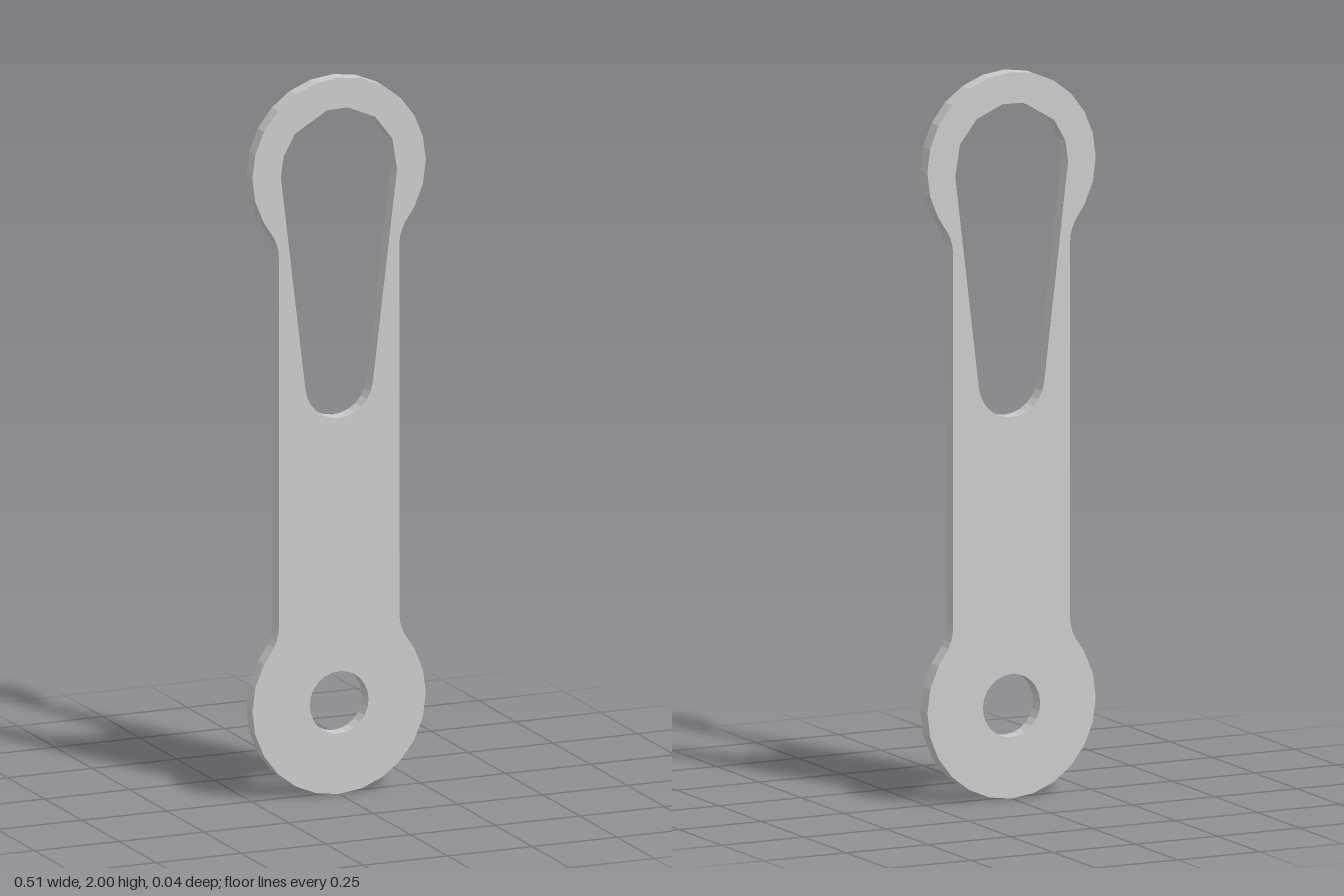
import * as THREE from 'three';

const rad = THREE.MathUtils.degToRad;

// Point on a circle, angle in degrees
const polar = (cx, cy, r, deg) =>
  new THREE.Vector2(cx + r * Math.cos(rad(deg)), cy + r * Math.sin(rad(deg)));

// Points along an arc, both ends included
function arc(cx, cy, r, from, to, steps) {
  return Array.from({ length: steps + 1 }, (_, i) =>
    polar(cx, cy, r, from + ((to - from) * i) / steps));
}

export function createModel() {
  const endR = 0.256, lowY = 0.256, highY = 2 - lowY;
  const waist = 0.178, filletR = 0.117;

  // Fillet touching both the round end and the straight side
  const fx = waist + filletR;
  const fy = lowY + Math.sqrt((endR + filletR) ** 2 - fx ** 2);
  const touch = THREE.MathUtils.radToDeg(Math.atan2(fy - lowY, fx));

  // Lower right quarter of the outline, then mirrored up and across
  const quarter = [
    ...arc(0, lowY, endR, -90, 30, 8),
    ...arc(fx, fy, filletR, 180 + touch, 180, 4),
  ];
  const rightSide = [
    ...quarter,
    ...quarter.map((p) => new THREE.Vector2(p.x, 2 - p.y)).reverse(),
  ];
  const leftSide = rightSide.slice(1, -1).reverse()
    .map((p) => new THREE.Vector2(-p.x, p.y));
  const outline = new THREE.Shape([...rightSide, ...leftSide]);

  // Round pivot hole in the lower end
  outline.holes.push(new THREE.Path(arc(0, lowY, 0.087, 0, 345, 23)));

  // Tapered slot: coarse faceted top, smoother small bottom
  const slotTop = [-6, 24, 52, 81, 102, 139, 162, 182]
    .map((a) => polar(0, highY, 0.172, a));
  outline.holes.push(new THREE.Path([
    ...slotTop,
    ...arc(0, 1.15, 0.1, 187, 353, 12),
  ]));

  // Flat plate
  const depth = 0.042;
  const geometry = new THREE.ExtrudeGeometry(outline, { depth, bevelEnabled: false });
  geometry.translate(0, 0, -depth / 2);
  const plate = new THREE.Mesh(
    geometry,
    new THREE.MeshStandardMaterial({ color: 0xcccccc, flatShading: true }));
  plate.name = 'linkPlate';

  const group = new THREE.Group();
  group.name = 'slottedLink';
  group.add(plate);
  return group;
}
